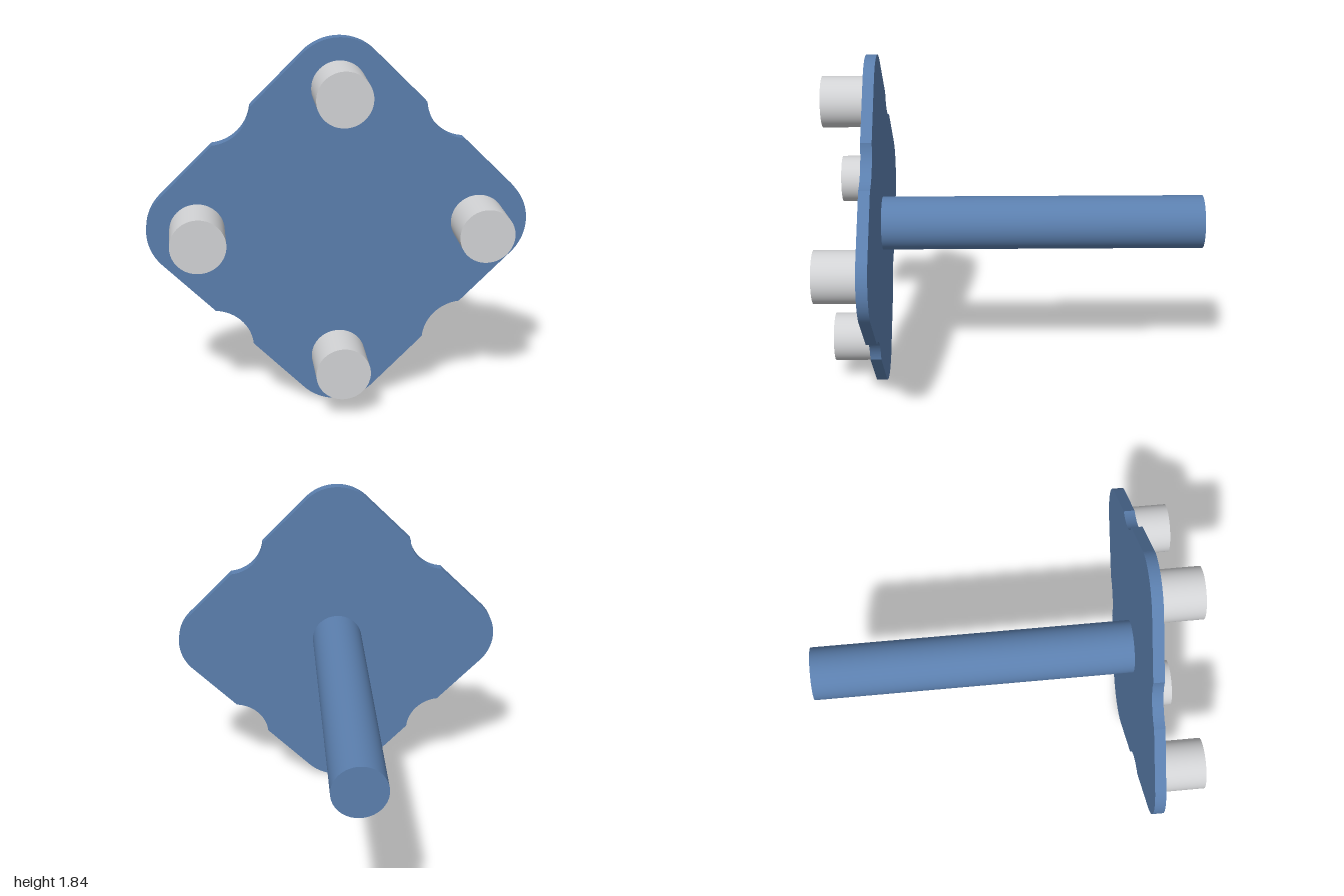
import * as THREE from 'three';

const CENTRE_Y = 0.922;
const PLATE_BACK = 0.715, PLATE_FRONT = 0.772;
const PEG_OFFSET = 0.681;

export function createModel() {
  const model = new THREE.Group();
  model.name = 'flangedPost';

  const blue = new THREE.MeshStandardMaterial({ color: 0x5b7fae });
  blue.name = 'steel blue';
  const grey = new THREE.MeshStandardMaterial({ color: 0xd2d3d5 });
  grey.name = 'light grey';

  // Cylinder lying along z between two depths
  function rod(name, x, y, radius, z0, z1, material) {
    const geometry = new THREE.CylinderGeometry(radius, radius, z1 - z0, 64);
    geometry.rotateX(Math.PI / 2);
    const mesh = new THREE.Mesh(geometry, material);
    mesh.name = name;
    mesh.position.set(x, y, (z0 + z1) / 2);
    model.add(mesh);
  }

  // Diamond plate: four rounded corners with a shallow round notch in each side
  const outline = new THREE.Shape();
  const rad = THREE.MathUtils.degToRad;
  for (let i = 0; i < 4; i++) {
    const turn = i * 90;
    const a = rad(turn), d = rad(turn + 45);
    outline.absarc(PEG_OFFSET * Math.cos(a), PEG_OFFSET * Math.sin(a), 0.241,
      rad(turn - 45), rad(turn + 45), false);
    outline.absarc(0.875 * Math.cos(d), 0.875 * Math.sin(d), 0.2,
      rad(turn - 95), rad(turn - 175), true);
  }
  outline.closePath();
  const plate = new THREE.Mesh(new THREE.ExtrudeGeometry(outline, {
    depth: PLATE_FRONT - PLATE_BACK, bevelEnabled: false, curveSegments: 24,
  }), blue);
  plate.name = 'plate';
  plate.position.set(0, CENTRE_Y, PLATE_BACK);
  model.add(plate);

  // Long shaft behind the plate
  rod('shaft', 0, CENTRE_Y, 0.142, -1, PLATE_BACK + 0.01, blue);

  // Four pegs seated in the plate, one at each corner
  ['leftPeg', 'topPeg', 'rightPeg', 'bottomPeg'].forEach((name, i) => {
    const a = i * Math.PI / 2;
    rod(name, PEG_OFFSET * Math.cos(a), CENTRE_Y + PEG_OFFSET * Math.sin(a),
      0.132, PLATE_BACK + 0.003, 1, grey);
  });

  return model;
}
